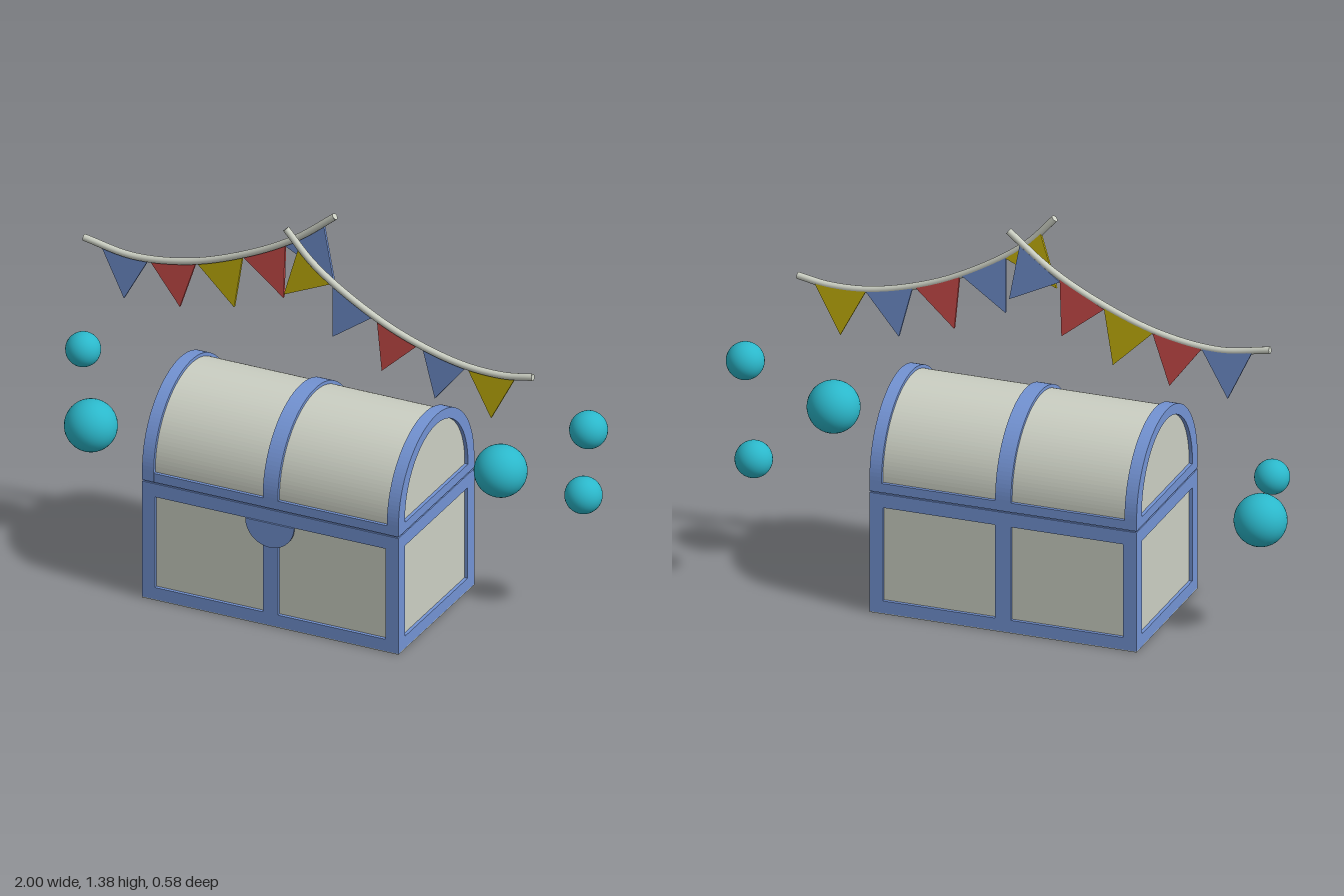
import * as THREE from 'three';

const mat = (name, color) => Object.assign(new THREE.MeshStandardMaterial({ color }), { name });

export function createModel() {
  const root = new THREE.Group();
  root.name = 'partyChest';
  const blue = mat('blue', 0x7393d3);
  const grey = mat('paleGrey', 0xcbcfc3);
  const teal = mat('teal', 0x2bb8cb);
  const red = mat('red', 0xd04e4c);
  const yellow = mat('yellow', 0xc9b50c);

  const add = (parent, name, geo, material, x = 0, y = 0, z = 0) => {
    const mesh = new THREE.Mesh(geo, material);
    mesh.name = name;
    mesh.position.set(x, y, z);
    parent.add(mesh);
    return mesh;
  };
  const extrude = (shape, depth, curveSegments = 24) =>
    new THREE.ExtrudeGeometry(shape, { depth, bevelEnabled: false, curveSegments });
  const rect = (path, x0, y0, x1, y1) => {
    path.moveTo(x0, y0);
    path.lineTo(x1, y0);
    path.lineTo(x1, y1);
    path.lineTo(x0, y1);
    path.closePath();
    return path;
  };
  // Arched lid outline: straight foot with a half ellipse on top
  const dome = (path, rx, ry, foot, spring) => {
    path.moveTo(-rx, foot);
    path.lineTo(rx, foot);
    path.lineTo(rx, spring);
    path.absellipse(0, spring, rx, ry, 0, Math.PI, false);
    path.closePath();
    return path;
  };

  // Chest: local x is centred on the chest
  const chest = new THREE.Group();
  chest.name = 'chest';
  chest.position.x = -0.046;
  root.add(chest);
  const W = 0.475, D = 0.285, H = 0.434, inset = 0.012;

  add(chest, 'basePanels', new THREE.BoxGeometry(2 * (W - inset), H - 0.004, 2 * (D - inset)), grey, 0, H / 2);
  add(chest, 'basePlate', new THREE.BoxGeometry(2 * W, 0.003, 2 * D), grey, 0, 0.0015);

  // Base frames on all four sides
  const longFrame = rect(new THREE.Shape(), -W, 0.003, W, H);
  longFrame.holes.push(rect(new THREE.Path(), -0.427, 0.047, -0.028, 0.385));
  longFrame.holes.push(rect(new THREE.Path(), 0.028, 0.047, 0.427, 0.385));
  const endFrame = rect(new THREE.Shape(), -D, 0.003, D, H);
  endFrame.holes.push(rect(new THREE.Path(), -0.235, 0.047, 0.235, 0.385));
  for (const s of [1, -1]) {
    add(chest, s > 0 ? 'frontFrame' : 'backFrame', extrude(longFrame, inset), blue,
      0, 0, s > 0 ? D - inset : -D);
    add(chest, s > 0 ? 'leftFrame' : 'rightFrame', extrude(endFrame, inset), blue,
      s > 0 ? W - inset : -W).rotation.y = Math.PI / 2;
  }
  add(chest, 'baseRim', new THREE.BoxGeometry(2 * W, 0.012, 2 * D), blue, 0, H - 0.006);

  // Half-round lock plate
  const lock = new THREE.Shape();
  lock.absarc(0, 0, 0.09, Math.PI, Math.PI * 2, false);
  lock.closePath();
  add(chest, 'lockPlate', extrude(lock, 0.006), blue, 0, 0.386, D);

  // Lid: arched core, three bands and bottom rails
  const lidBottom = 0.439, spring = 0.48;
  const core = dome(new THREE.Shape(), D - inset, D - inset, lidBottom, spring);
  add(chest, 'lidPanels', extrude(core, 2 * (W - inset), 32), grey, -(W - inset)).rotation.y = Math.PI / 2;
  const band = dome(new THREE.Shape(), D, D, lidBottom, spring);
  band.holes.push(dome(new THREE.Path(), 0.237, 0.25, 0.472, spring));
  for (const [name, x, w] of [['lidBandRight', -W, 0.043], ['lidBandMiddle', -0.028, 0.056], ['lidBandLeft', W - 0.043, 0.043]])
    add(chest, name, extrude(band, w, 32), blue, x).rotation.y = Math.PI / 2;
  for (const s of [1, -1])
    add(chest, 'lidRail', new THREE.BoxGeometry(2 * W - 0.004, 0.033, 0.014), blue, 0, 0.4555, s * (D - 0.0075));
  add(chest, 'lidSeam', new THREE.BoxGeometry(2 * W - 0.01, 0.006, 2 * D - 0.01), blue, 0, 0.4365);

  // Balloons: x, y, z, radius
  for (const [x, y, z, r] of [
    [-0.944, 0.64, -0.13, 0.06], [-0.861, 0.425, -0.02, 0.09], [0.658, 0.6, -0.018, 0.09],
    [0.932, 0.767, -0.123, 0.065], [0.864, 0.462, -0.223, 0.064],
  ]) add(root, 'balloon', new THREE.SphereGeometry(r, 32, 20), teal, x, y, z);

  // Bunting: a hanging cord with triangular flags
  const bunting = (name, z, cordPoints, flags) => {
    const group = new THREE.Group();
    group.name = name;
    group.position.z = z;
    root.add(group);
    const curve = new THREE.CatmullRomCurve3(cordPoints.map(([x, y]) => new THREE.Vector3(x, y, 0)));
    add(group, 'cord', new THREE.TubeGeometry(curve, 40, 0.012, 12), grey);
    for (const t of [0, 1]) {
      const p = curve.getPoint(t);
      const dir = curve.getTangent(t).multiplyScalar(t ? 1 : -1);
      add(group, 'cordEnd', new THREE.CircleGeometry(0.012, 12), grey, p.x, p.y, 0)
        .quaternion.setFromUnitVectors(new THREE.Vector3(0, 0, 1), dir);
    }
    for (const [material, ...c] of flags) {
      const tri = new THREE.Shape([0, 2, 4].map(i => new THREE.Vector2(c[i], c[i + 1])));
      add(group, 'flag', extrude(tri, 0.01), material, 0, 0, -0.011);
    }
  };
  bunting('backBunting', -0.092,
    [[-0.922, 1.08], [-0.74, 1.052], [-0.527, 1.08], [-0.313, 1.158], [-0.14, 1.252], [0.008, 1.368]],
    [
      [blue, -0.86, 1.062, -0.775, 0.885, -0.682, 1.052],
      [red, -0.682, 1.05, -0.568, 0.9, -0.508, 1.08],
      [yellow, -0.508, 1.08, -0.367, 0.944, -0.335, 1.145],
      [red, -0.335, 1.14, -0.184, 1.02, -0.178, 1.225],
      [blue, -0.178, 1.215, 0.002, 1.126, -0.035, 1.325],
    ]);
  bunting('frontBunting', 0.06,
    [[-0.099, 1.368], [0.0, 1.262], [0.142, 1.163], [0.329, 1.07], [0.543, 1.01], [0.703, 1.002], [0.816, 1.02]],
    [
      [yellow, -0.052, 1.31, -0.108, 1.12, 0.072, 1.2],
      [blue, 0.072, 1.205, 0.073, 1.003, 0.227, 1.112],
      [red, 0.236, 1.112, 0.255, 0.917, 0.393, 1.045],
      [blue, 0.403, 1.045, 0.452, 0.858, 0.57, 1.003],
      [yellow, 0.57, 1.002, 0.66, 0.832, 0.75, 1.002],
    ]);

  return root;
}
